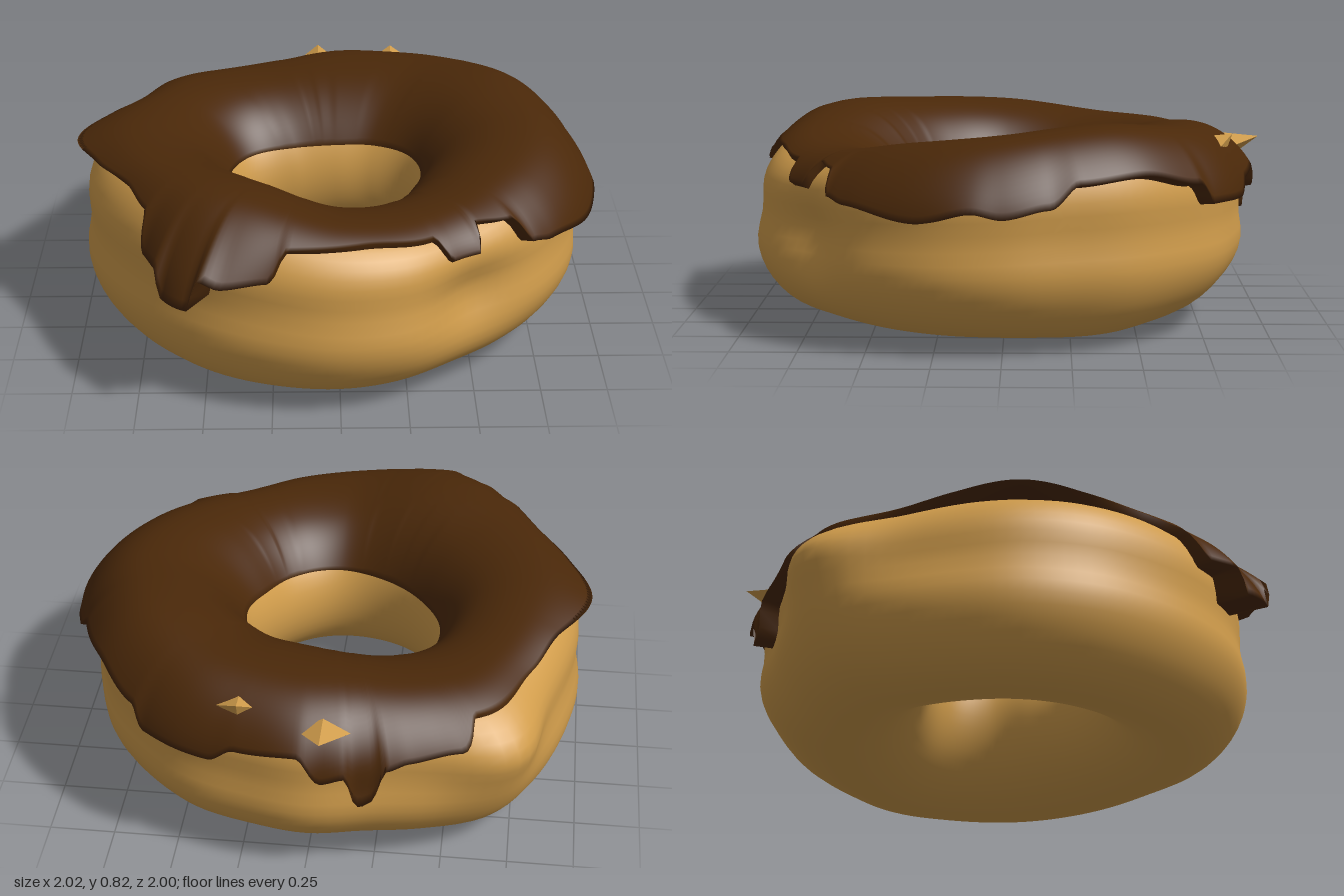
import * as THREE from 'three';

const TAU = Math.PI * 2;

// Smooth cyclic lookup in a table evenly spaced round the ring.
// Angles run from +x towards +z.
function ring(table, a) {
  const n = table.length, f = ((a / TAU) * n + n) % n;
  const i = Math.floor(f), t = f - i;
  const [p, q, r, s] = [-1, 0, 1, 2].map(k => table[(i + k + n) % n]);
  return q + 0.5 * t * (r - p + t * (2 * p - 5 * q + 4 * r - s + t * (3 * (q - r) + s - p)));
}

// Every 15 degrees: outer radius of the dough, overhang of the icing
const OUTER = [0.95, 0.96, 0.95, 0.94, 0.94, 0.98, 1.0, 1.0, 1.0, 0.99, 0.99, 1.0,
  1.0, 0.99, 1.0, 1.02, 0.97, 0.93, 0.95, 0.94, 0.95, 0.94, 0.94, 0.93];
const FLARE = [0.05, 0.05, 0.04, 0.03, 0, 0, 0, 0.02, 0.13, 0.03, 0, 0.03,
  0.09, 0.04, 0, 0, 0.02, 0.05, 0.03, 0.02, 0.03, 0.04, 0.04, 0.04];
// Every 30 degrees: hole radius, crest height, base height
const INNER = [0.31, 0.29, 0.32, 0.37, 0.39, 0.40, 0.42, 0.39, 0.29, 0.25, 0.27, 0.31];
const CREST = [0.79, 0.75, 0.70, 0.72, 0.80, 0.79, 0.77, 0.73, 0.73, 0.77, 0.79, 0.82];
const BASE = [0.04, 0.04, 0.04, 0.03, 0.02, 0.01, 0, 0.01, 0.05, 0.06, 0.05, 0.03];
const THICK = 0.025;
const SHOULDER = 0.9; // below 1 squares off the upper outer quarter

// Drip line: [degrees, height of the icing edge]
const DRIPS = [[0, 0.53], [6, 0.55], [18, 0.51], [36, 0.55], [42, 0.57], [45, 0.66],
  [54, 0.67], [56, 0.58], [63, 0.58], [67, 0.66], [85, 0.68], [102, 0.68], [105, 0.58],
  [113, 0.57], [117, 0.6], [119, 0.48], [126, 0.48], [128, 0.58], [134, 0.58], [138, 0.71],
  [150, 0.73], [165, 0.72], [180, 0.71], [195, 0.71], [210, 0.68], [230, 0.67], [236, 0.58],
  [247, 0.56], [252, 0.54], [255, 0.41], [258, 0.38], [261, 0.52], [266, 0.5], [271, 0.6],
  [285, 0.58], [291, 0.52], [308, 0.53], [312, 0.61], [328, 0.66], [343, 0.64], [350, 0.56],
  [360, 0.53]];

function dripHeight(a) {
  const d = (a / TAU) * 360;
  const i = DRIPS.findIndex((p, k) => k > 0 && d <= p[0]);
  const [d0, y0] = DRIPS[i - 1], [d1, y1] = DRIPS[i];
  return THREE.MathUtils.lerp(y0, y1, THREE.MathUtils.smoothstep(d, d0, d1));
}

function heights(a) {
  const top = ring(CREST, a) - THICK, base = ring(BASE, a);
  return { m: (top + base) / 2, h: (top - base) / 2 };
}

// Soft bump centred on x
const bump = (x, centre, width) => Math.exp(-(((x - centre) / width) ** 2));

// Point on the ring; t = 0 outside, PI/2 on top, PI in the hole
function surface(a, t, offset, flare = 0) {
  const outer = ring(OUTER, a), inner = ring(INNER, a), { m, h } = heights(a);
  const co = Math.cos(t), si = Math.sin(t);
  const power = co > 0 && si > 0 ? SHOULDER : 1;
  const bend = v => Math.sign(v) * Math.abs(v) ** power;
  // the crest sits further out than the base
  const c = THREE.MathUtils.lerp(inner, outer, si > 0 ? 0.62 : 0.53);
  const y = m + (h + offset) * bend(si);
  let r = c + ((co > 0 ? outer - c : c - inner) + offset) * bend(co) + flare;
  if (co > 0) {
    r -= 0.03 * bump(y, 0.43, 0.1); // waist groove
    r -= 0.07 * bump(a, 0.98, 0.22) * bump(y, 0.37, 0.14); // dent at the front corner
    r += 0.11 * bump(a, 3.93, 0.22) * bump(y, 0.5, 0.16); // knob at the back corner
  }
  return [r * Math.cos(a), y, r * Math.sin(a)];
}

// Grid of rows round the ring, closed in angle and optionally in section
function loft(name, segs, rows, closed, point, material) {
  const pos = [], index = [];
  for (let i = 0; i < segs; i++)
    for (let j = 0; j < rows; j++) pos.push(...point((i / segs) * TAU, j));
  for (let i = 0; i < segs; i++) {
    const n = ((i + 1) % segs) * rows, b = i * rows;
    for (let j = 0; j < (closed ? rows : rows - 1); j++) {
      const k = (j + 1) % rows;
      index.push(b + j, b + k, n + j, n + j, b + k, n + k);
    }
  }
  const g = new THREE.BufferGeometry();
  g.setAttribute('position', new THREE.Float32BufferAttribute(pos, 3));
  g.setIndex(index);
  g.computeVertexNormals();
  const mesh = new THREE.Mesh(g, material);
  mesh.name = name;
  return mesh;
}

export function createModel() {
  const group = new THREE.Group();
  group.name = 'ringDoughnut';
  const doughMat = new THREE.MeshStandardMaterial({ color: 0xd09c4b });
  const icingMat = new THREE.MeshStandardMaterial({ color: 0x4a2809, side: THREE.DoubleSide });

  // Dough ring
  group.add(loft('dough', 120, 48, true, (a, j) => surface(a, (j / 48) * TAU, 0), doughMat));

  // Icing sheet with a drip line; first and last rows tuck into the dough
  const rows = 36;
  const edgeAngle = (a, y, power) => {
    const { m, h } = heights(a);
    const s = THREE.MathUtils.clamp((y - m) / (h + THICK), 0, 1);
    return Math.asin(s ** (1 / power));
  };
  group.add(loft('icing', 360, rows, false, (a, j) => {
    const t0 = edgeAngle(a, dripHeight(a), SHOULDER);
    const t1 = Math.PI - edgeAngle(a, 0.53 + 0.02 * (Math.cos(a) - Math.sin(a)), 1);
    const u = THREE.MathUtils.clamp((j - 1) / (rows - 3), 0, 1);
    const tuck = j === 0 || j === rows - 1;
    const inside = THREE.MathUtils.smoothstep(u, 0.6, 1);
    const offset = tuck ? -0.005 : THICK * (1 - 0.6 * inside);
    return surface(a, t0 + (t1 - t0) * u, offset, tuck ? 0 : ring(FLARE, a) * (1 - u) ** 5);
  }, icingMat));

  // Dough flakes poking through the icing at the back
  const flakes = [[-0.07, 0.68, -0.94, 0.1, 0.13, -1.3], [0.24, 0.72, -0.84, 0.1, 0.08, -0.9]];
  for (const [x, y, z, radius, height, tilt] of flakes) {
    const flake = new THREE.Mesh(new THREE.ConeGeometry(radius, height, 4).toNonIndexed(), doughMat);
    flake.geometry.computeVertexNormals();
    flake.name = 'doughFlake';
    flake.position.set(x, y, z);
    flake.rotation.x = tilt;
    flake.scale.z = 0.5;
    group.add(flake);
  }
  return group;
}
